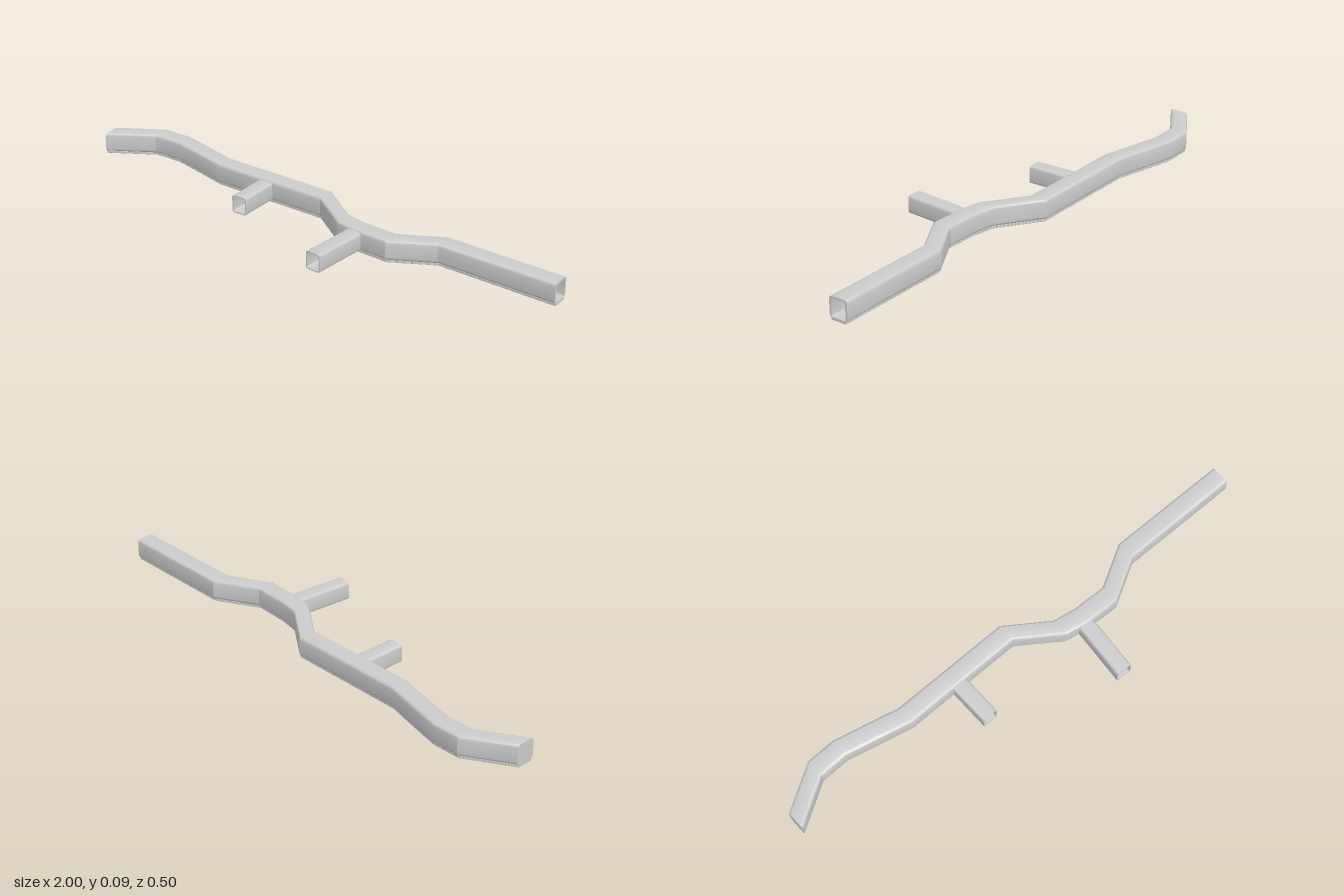
import * as THREE from 'three';
import { toCreasedNormals } from 'three/addons/utils/BufferGeometryUtils.js';

const material = new THREE.MeshStandardMaterial({ color: 0xcccccc });

// Counter-clockwise rounded rectangle as [sideways, up] points.
function outline(halfWidth, y0, y1, radius, steps = 4) {
  const points = [];
  const corners = [[1, y0 + radius, -90], [1, y1 - radius, 0], [-1, y1 - radius, 90], [-1, y0 + radius, 180]];
  for (const [sign, y, start] of corners) {
    for (let i = 0; i <= steps; i++) {
      const a = THREE.MathUtils.degToRad(start + (90 * i) / steps);
      points.push([sign * (halfWidth - radius) + radius * Math.cos(a), y + radius * Math.sin(a)]);
    }
  }
  return points;
}

// Place an outline at every [x, z] path point, offset along the side vector.
function ringsAlong(path, side, profile) {
  return path.map(([x, z]) => profile.map(([s, y]) => [x + s * side[0], y, z + s * side[1]]));
}

// A ring shrunk to its middle, used to close an end.
function collapsed(ring) {
  const middle = [0, 1, 2].map((k) => ring.reduce((sum, p) => sum + p[k], 0) / ring.length);
  return ring.map(() => middle);
}

// Join successive rings with outward-facing quads.
function skin(name, rings) {
  const n = rings[0].length;
  const index = [];
  for (let r = 0; r < rings.length - 1; r++) {
    for (let i = 0; i < n; i++) {
      const a = r * n + i, b = r * n + ((i + 1) % n);
      index.push(a, a + n, b + n, a, b + n, b);
    }
  }
  const geometry = new THREE.BufferGeometry();
  geometry.setAttribute('position', new THREE.Float32BufferAttribute(rings.flat(2), 3));
  geometry.setIndex(index);
  const mesh = new THREE.Mesh(toCreasedNormals(geometry, 0.45), material);
  mesh.name = name;
  return mesh;
}

// Hollow tube: along the outside, over the rim, back along the inside.
function hollowTube(name, path, side, outer, inner, closeStart) {
  const outside = ringsAlong(path, side, outer);
  const inside = ringsAlong(path, side, inner).reverse();
  const first = closeStart ? collapsed(outside[0]) : outside[0];
  const last = closeStart ? collapsed(inside[inside.length - 1]) : outside[0];
  const rings = closeStart ? [first, ...outside, ...inside, last] : [...outside, ...inside, last];
  return skin(name, rings);
}

export function createModel() {
  const group = new THREE.Group();
  group.name = 'windingTunnel';

  // Winding main tunnel
  const path = [
    [-1, -0.115], [-0.83, -0.215], [-0.72, -0.215], [-0.6, -0.185], [-0.47, -0.151], [0, -0.142],
    [0.155, -0.028], [0.24, -0.01], [0.375, -0.002], [0.535, -0.087], [1, -0.074],
  ];
  const across = [0, 1];
  group.add(hollowTube('mainTunnel', path, across,
    outline(0.037, 0.009, 0.086, 0.012), outline(0.029, 0.011, 0.079, 0.006), true));

  // Narrow base strip below the tunnel
  const strip = ringsAlong(path, across, outline(0.03, 0, 0.01, 0.001, 1));
  group.add(skin('baseStrip', [collapsed(strip[0]), ...strip, collapsed(strip[strip.length - 1])]));

  // Two open side branches
  const branches = [
    ['shortBranch', [-0.249, -0.11], [-0.249, 0.05]],
    ['longBranch', [0.238, 0.015], [0.217, 0.243]],
  ];
  for (const [name, from, to] of branches) {
    const dx = to[0] - from[0], dz = to[1] - from[1], length = Math.hypot(dx, dz);
    group.add(hollowTube(name, [from, to], [-dz / length, dx / length],
      outline(0.031, 0.011, 0.08, 0.009), outline(0.026, 0.016, 0.075, 0.005), false));
  }
  return group;
}
